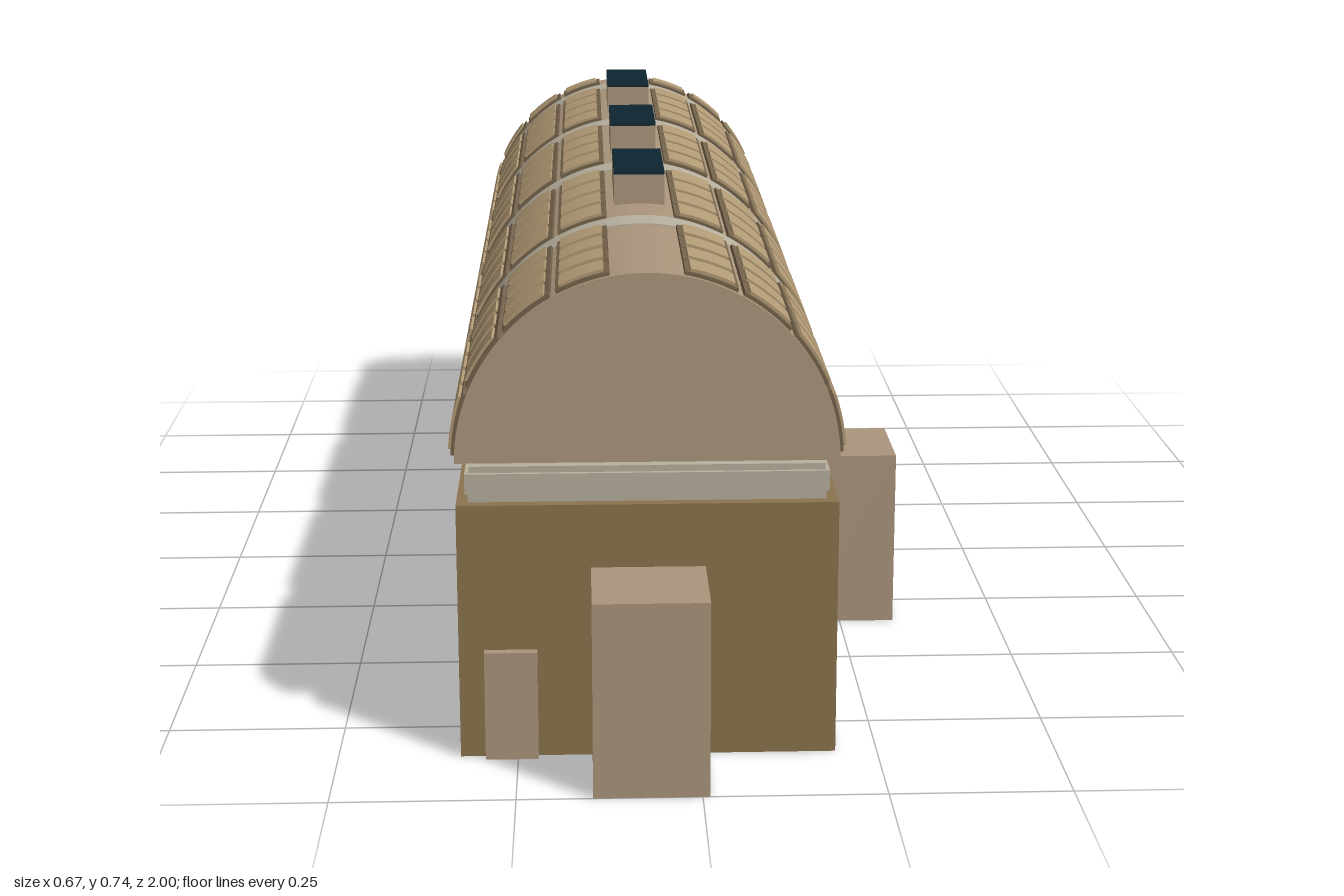
import * as THREE from 'three';
import { toCreasedNormals } from 'three/addons/utils/BufferGeometryUtils.js';

const CX = -0.069;   // centre line of the hall
const SPRING = 0.425; // height where the vault starts
const X0 = -0.33, X1 = 0.192, Z0 = -0.98, Z1 = 0.855;

const mat = (name, color) => {
  const m = new THREE.MeshStandardMaterial({ color });
  m.name = name;
  return m;
};

export function createModel() {
  const wallBrown = mat('wall brown', 0x8b734e);
  const stone = mat('tan stone', 0xab967c);
  const tile = mat('roof tile tan', 0xb39b76);
  const tileEdge = mat('tile edge brown', 0x75634b);
  const pale = mat('pale grey trim', 0xb7b09e);
  const glass = mat('dark glass', 0x0d2430);
  const black = mat('black floor', 0x1c1b19);

  const root = new THREE.Group();
  root.name = 'vaultedHall';

  const group = (name) => {
    const g = new THREE.Group();
    g.name = name;
    root.add(g);
    return g;
  };
  const add = (parent, name, geometry, material) => {
    const m = new THREE.Mesh(geometry, material);
    m.name = name;
    parent.add(m);
    return m;
  };
  // Box given by its limits on each axis
  const box = (parent, name, material, x0, x1, y0, y1, z0, z1) => {
    const m = add(parent, name, new THREE.BoxGeometry(x1 - x0, y1 - y0, z1 - z0), material);
    m.position.set((x0 + x1) / 2, (y0 + y1) / 2, (z0 + z1) / 2);
    return m;
  };
  // Arc section extruded along z; an inner radius of 0 gives a solid half disc
  const arc = (parent, name, material, rIn, rOut, degA, degB, z0, z1, segments) => {
    const a = THREE.MathUtils.degToRad(degA), b = THREE.MathUtils.degToRad(degB);
    const s = new THREE.Shape();
    s.absarc(0, 0, rOut, a, b, false);
    if (rIn > 0) s.absarc(0, 0, rIn, b, a, true);
    s.closePath();
    const g = new THREE.ExtrudeGeometry(s, { depth: z1 - z0, bevelEnabled: false, curveSegments: segments });
    const m = add(parent, name, toCreasedNormals(g, 0.5), material);
    m.position.set(CX, SPRING, z0);
    return m;
  };

  // Walls: the back and right walls stop above the ground
  const walls = group('walls');
  const T = 0.015, GAP = 0.065, TOP = 0.365;
  box(walls, 'frontWall', wallBrown, X0, X1, 0, TOP, Z1 - T, Z1);
  box(walls, 'leftWall', wallBrown, X1 - T, X1, 0, TOP, Z0, Z1 - T);
  box(walls, 'backWall', wallBrown, X0, X1 - T, GAP, TOP, Z0, Z0 + T);
  box(walls, 'rightWall', wallBrown, X0, X0 + T, GAP, TOP, Z0 + T, Z1 - T);
  box(walls, 'wallTop', wallBrown, X0 + T, X1 - T, TOP - 0.01, TOP - 0.001, Z0 + T, Z1 - T);

  // Floor slab with dark stripes above and below
  const floor = group('floor');
  box(floor, 'floorSlab', pale, X0 + 0.001, X1 - 0.001, 0.002, 0.008, Z0 + 0.001, Z1 - 0.001);
  const stripes = 24, pitch = (Z1 - Z0 - 0.06) / stripes;
  for (let i = 0; i < stripes; i++) {
    const z = Z0 + 0.03 + (i + 0.25) * pitch;
    box(floor, 'floorStripe', black, X0 + 0.03, X1 - 0.03, 0.0005, 0.0095, z, z + pitch * 0.55);
  }

  // Slim posts behind the open foot of the walls
  const posts = group('posts');
  const post = (x, z) => box(posts, 'post', pale, x - 0.008, x + 0.008, 0.008, TOP - 0.01, z - 0.008, z + 0.008);
  for (const z of [0.82, 0.493, 0.035, -0.422, -0.88, -0.955]) post(X0 + 0.025, z);
  for (const x of [-0.16, 0.02, 0.165]) post(x, -0.955);

  // Stepped cornice
  const cornice = group('cornice');
  const step = (name, inset, y0, y1) =>
    box(cornice, name, pale, X0 + inset, X1 - inset, y0, y1, Z0 + inset, Z1 - inset);
  step('corniceFoot', 0.016, 0.365, 0.378);
  step('corniceBand', 0.012, 0.378, 0.406);
  step('corniceLip', 0.018, 0.406, 0.415);
  step('corniceNeck', 0.034, 0.415, SPRING);

  // Barrel vault and its ribs
  const vault = group('vault');
  arc(vault, 'vaultShell', stone, 0, 0.2615, 0, 180, Z0, Z1, 48);
  for (const z of [0.499, 0.041, -0.421, -0.877]) {
    arc(vault, 'vaultRib', pale, 0.25, 0.263, 0, 180, z - 0.032, z + 0.032, 48);
  }

  // Raised roof tiles, mirrored about the crown
  const tiles = group('roofTiles');
  const rows = [[2, 21], [23, 41], [43, 60.5], [62.5, 79]];
  const bays = [[0.85, 0.53, 4], [0.468, 0.083, 4], [0.002, -0.378, 4], [-0.457, -0.837, 4], [-0.917, -0.977, 1]];
  for (const [zStart, zEnd, count] of bays) {
    const p = (zStart - zEnd) / count;
    for (let i = 0; i < count; i++) {
      const z1 = zStart - i * p - 0.003, z0 = zStart - (i + 1) * p + 0.003;
      for (const [a, b] of rows) {
        for (const [s, e] of [[a, b], [180 - b, 180 - a]]) {
          arc(tiles, 'tileEdge', tileEdge, 0.255, 0.2665, s, e, z0, z1, 5);
          arc(tiles, 'tile', tile, 0.255, 0.2705, s + 1.5, e - 1.5, z0 + 0.007, z1 - 0.007, 5);
        }
      }
    }
  }

  // Roof lights on the crown
  const lights = group('roofLights');
  for (const z of [0.265, -0.195, -0.65]) {
    box(lights, 'roofLightBox', stone, -0.107, -0.03, 0.67, 0.731, z - 0.105, z + 0.105);
    box(lights, 'roofLightGlass', glass, -0.107, -0.03, 0.731, 0.735, z - 0.105, z + 0.105);
  }

  // Half-round window in the back gable
  const lunette = group('backWindow');
  arc(lunette, 'windowFrame', stone, 0.152, 0.16, 0, 180, -1, Z0, 32);
  arc(lunette, 'windowGlass', glass, 0, 0.153, 0, 180, -0.988, Z0, 32);
  for (const x of [-0.052, 0.052]) {
    box(lunette, 'mullion', pale, CX + x - 0.003, CX + x + 0.003, SPRING, SPRING + 0.143, -0.994, -0.987);
  }

  // Porches and side blocks
  const porches = group('porches');
  box(porches, 'frontPorch', stone, -0.147, 0.01, 0, 0.275, Z1, 1);
  box(porches, 'sideDoor', stone, -0.295, -0.222, 0, 0.157, Z1, 0.868);
  box(porches, 'leftPorch', stone, X1, 0.335, 0, 0.275, 0.19, 0.345);

  return root;
}
